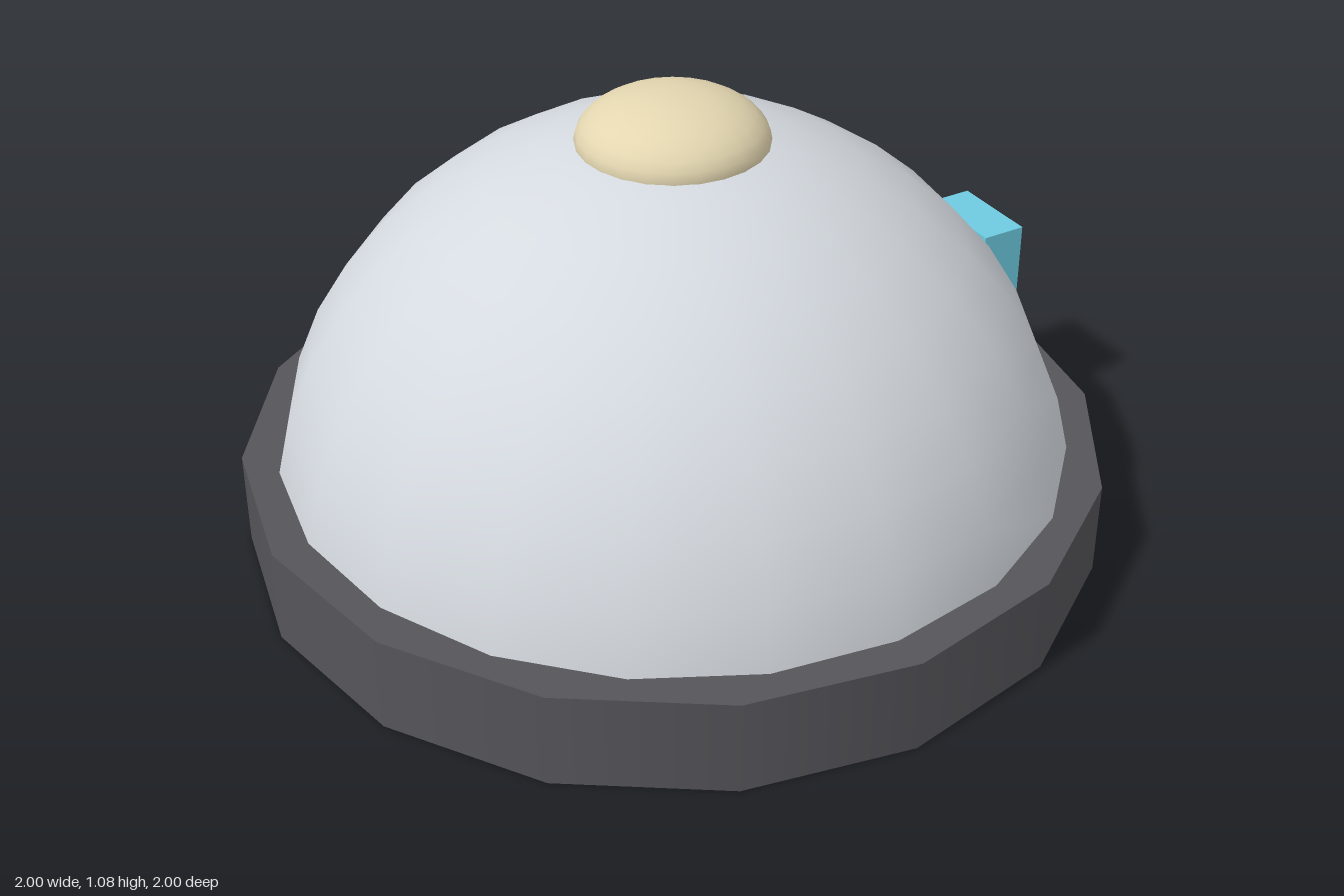
import * as THREE from 'three';

function addPart(group, name, geometry, color, x, y) {
  const mesh = new THREE.Mesh(geometry, new THREE.MeshStandardMaterial({ color }));
  mesh.name = name;
  mesh.position.set(x, y, 0);
  group.add(mesh);
  return mesh;
}

export function createModel() {
  const group = new THREE.Group();
  group.name = 'domeOnBase';

  // Sixteen-sided plinth
  const baseHeight = 0.225;
  addPart(group, 'base', new THREE.CylinderGeometry(1, 1, baseHeight, 16), 0x55555a, 0, baseHeight / 2);

  // Upper half of a sphere, its rim sunk into the base
  const dome = new THREE.SphereGeometry(0.93, 20, 10, 0, Math.PI * 2, 0, Math.PI / 2);
  addPart(group, 'dome', dome, 0xd5dae0, 0, 0.07);

  // Flattened cap at the apex
  const cap = new THREE.SphereGeometry(0.217, 24, 16).scale(1, 0.5, 1);
  addPart(group, 'topCap', cap, 0xe3d6b0, 0, 0.975);

  // Upright block on the left flank
  addPart(group, 'sideBlock', new THREE.BoxGeometry(0.11, 0.445, 0.22), 0x6ecbe0, 0.86, 0.333);

  return group;
}
